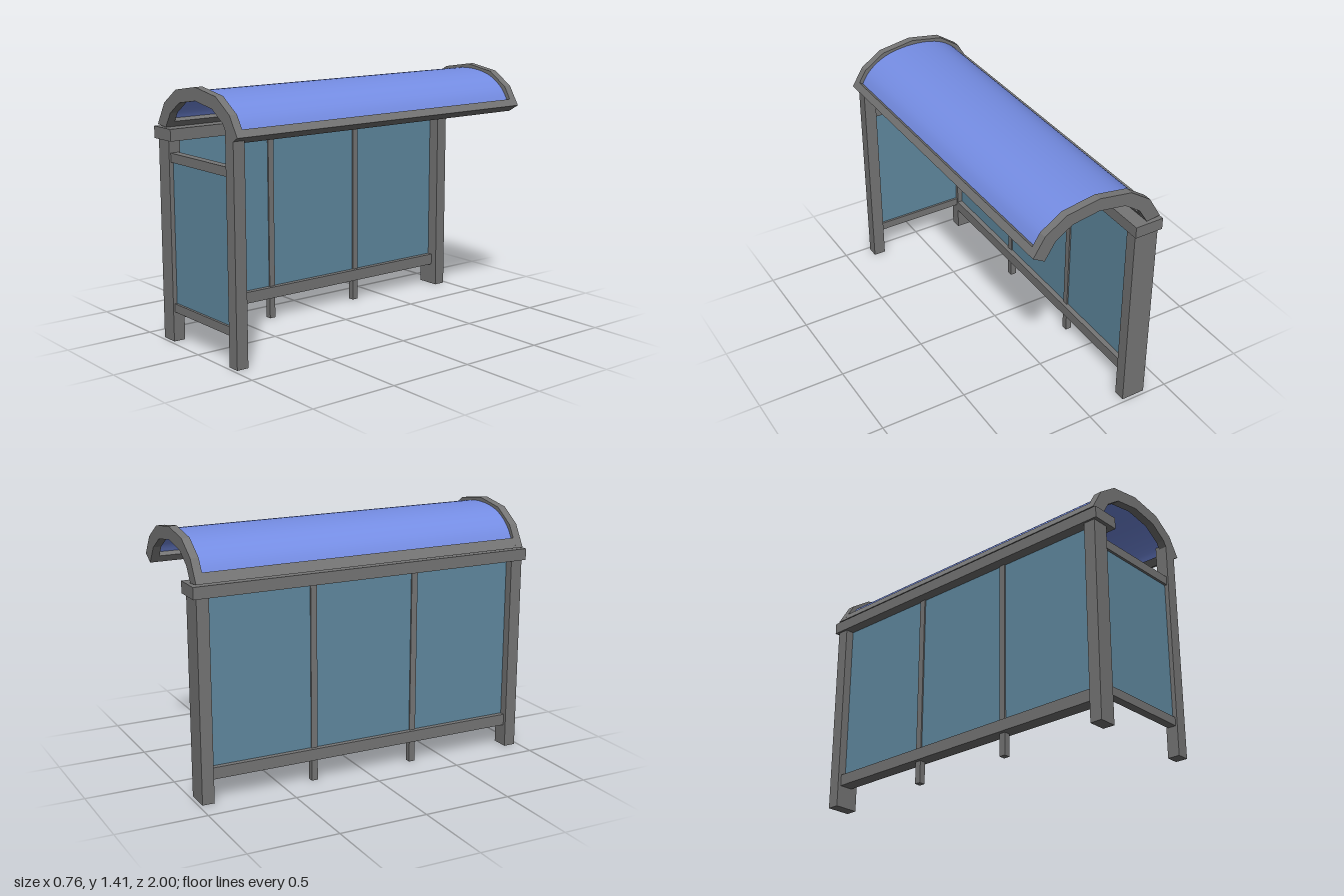
import * as THREE from 'three';
import { toCreasedNormals } from 'three/addons/utils/BufferGeometryUtils.js';

export function createModel() {
  const group = new THREE.Group();
  group.name = 'shelter';

  const make = (name, hex) => {
    const m = new THREE.MeshStandardMaterial({ color: hex });
    m.name = name;
    return m;
  };
  const frame = make('frameGrey', 0x757575);
  const glass = make('glassBlue', 0x6089a0);
  const canopy = make('canopyBlue', 0x758de4);

  const add = (name, geometry, material) => {
    const mesh = new THREE.Mesh(geometry, material);
    mesh.name = name;
    group.add(mesh);
    return mesh;
  };
  // Box given by its minimum and maximum on each axis
  const box = (name, [x0, x1], [y0, y1], [z0, z1], material = frame) => {
    const g = new THREE.BoxGeometry(x1 - x0, y1 - y0, z1 - z0);
    g.translate((x0 + x1) / 2, (y0 + y1) / 2, (z0 + z1) / 2);
    return add(name, g, material);
  };
  // Profile in x and y, extruded between two z positions
  const extrude = (points, z0, z1) => {
    const shape = new THREE.Shape(points.map(([x, y]) => new THREE.Vector2(x, y)));
    const g = new THREE.ExtrudeGeometry(shape, { depth: z1 - z0, bevelEnabled: false });
    return g.translate(0, 0, z0);
  };

  // Posts
  box('backPostWide', [-0.37, -0.23], [0, 1.11], [-0.98, -0.912]);
  box('backPostNarrow', [-0.37, -0.27], [0, 1.11], [0.912, 0.98]);
  box('frontPost', [0.27, 0.34], [0, 1.185], [0.912, 0.98]);
  // Wedge that joins the front post to the arch
  add('frontPostTop', extrude([[0.27, 1.185], [0.333, 1.185], [0.31, 1.23], [0.27, 1.24]], 0.912, 0.98), frame);

  // Back wall: top beam, bottom beam, mullions and three panes
  box('topBeam', [-0.382, -0.218], [1.11, 1.175], [-1, 1]);
  box('bottomBeam', [-0.35, -0.27], [0.125, 0.19], [-0.912, 0.912]);
  for (const z of [-0.307, 0.307]) {
    box('mullion', [-0.328, -0.292], [0, 1.11], [z - 0.018, z + 0.018]);
  }
  for (const [z0, z1] of [[-0.912, -0.325], [-0.289, 0.289], [0.325, 0.912]]) {
    box('backPane', [-0.32, -0.3], [0.19, 1.11], [z0, z1], glass);
  }

  // Side wall at the front end
  box('sideTopRail', [-0.27, 0.27], [0.99, 1.04], [0.922, 0.97]);
  box('sideBottomRail', [-0.27, 0.27], [0.165, 0.212], [0.922, 0.97]);
  box('sidePane', [-0.27, 0.27], [0.212, 0.99], [0.936, 0.956], glass);

  // Roof ribs: faceted arches at both ends
  const outer = [[-0.376, 1.184], [-0.305, 1.305], [-0.187, 1.385], [0, 1.415], [0.19, 1.385], [0.311, 1.305], [0.377, 1.199]];
  const inner = [[-0.296, 1.175], [-0.246, 1.256], [-0.155, 1.319], [0, 1.344], [0.155, 1.319], [0.25, 1.256], [0.31, 1.16]];
  const arch = [...outer, ...[...inner].reverse()];
  for (const [z0, z1] of [[-0.98, -0.935], [0.935, 0.98]]) {
    add('roofRib', extrude(arch, z0, z1), frame);
  }

  // Eave bars along both roof edges
  add('backEave', extrude([[-0.376, 1.184], [-0.296, 1.175], [-0.277, 1.205], [-0.345, 1.236]], -0.935, 0.935), frame);
  add('frontEave', extrude([[0.377, 1.199], [0.354, 1.236], [0.287, 1.197], [0.31, 1.16]], -0.935, 0.935), frame);

  // Smooth curved canopy sheet set inside the frame
  const between = (t) => new THREE.CatmullRomCurve3(
    outer.map(([x, y], i) => new THREE.Vector3(
      x + (inner[i][0] - x) * t, y + (inner[i][1] - y) * t, 0)),
  ).getPoints(36).slice(2, -2).map((p) => [p.x, p.y]);
  const sheet = extrude([...between(0.34), ...between(0.6).reverse()], -0.937, 0.937);
  add('canopySheet', toCreasedNormals(sheet, 0.6), canopy);

  return group;
}
